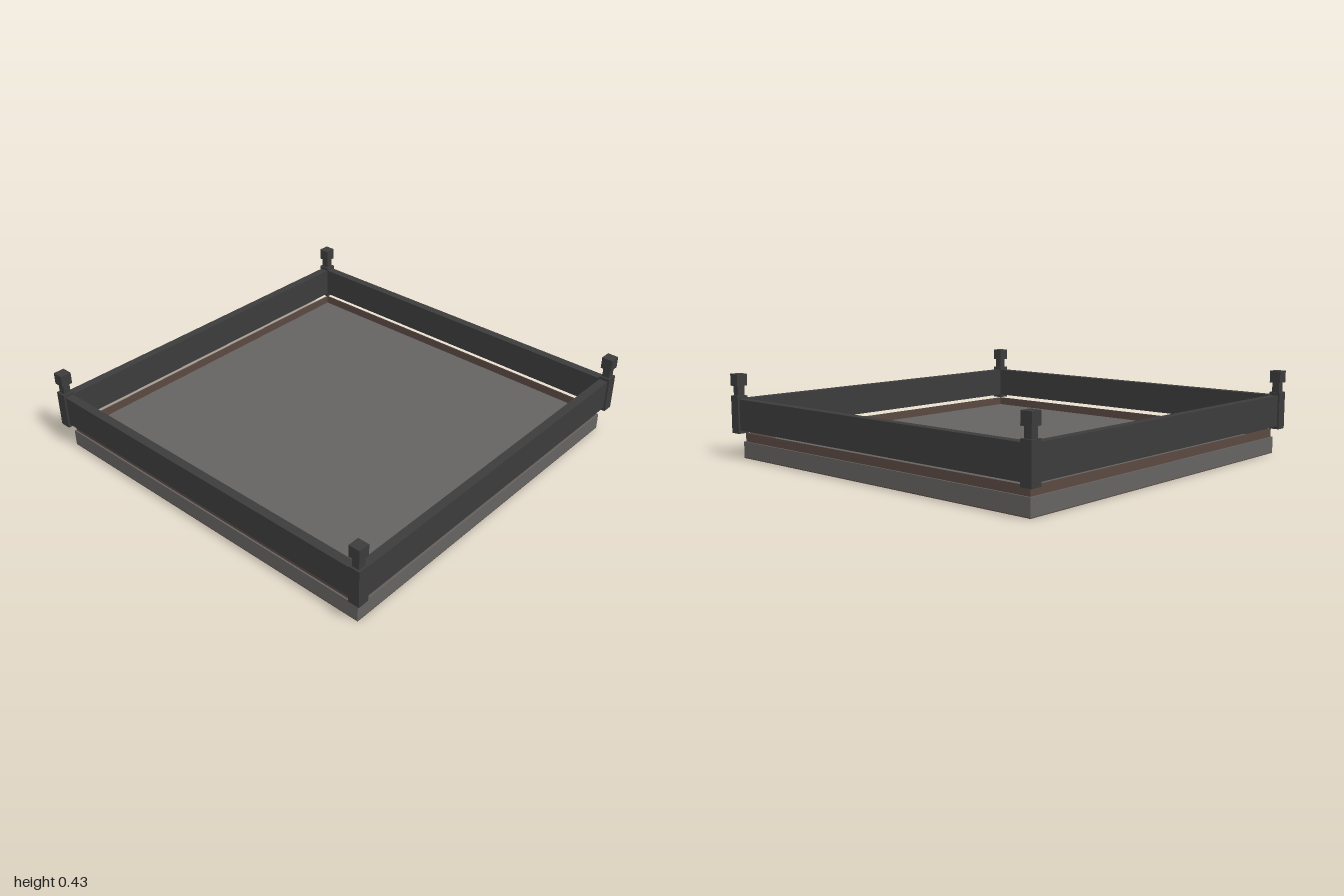
import * as THREE from 'three';

const material = (color) => new THREE.MeshStandardMaterial({ color, flatShading: true });

export function createModel() {
  const model = new THREE.Group();
  const stone = material(0x666462);
  const brown = material(0x5a4a42);
  const iron = material(0x3c3c3c);

  // Box given by its size, centre and bottom height
  const box = (name, mat, [w, h, d], [x, y, z], parent = model) => {
    const mesh = new THREE.Mesh(new THREE.BoxGeometry(w, h, d), mat);
    mesh.name = name;
    mesh.position.set(x, y + h / 2, z);
    parent.add(mesh);
    return mesh;
  };

  // Floor slab on a thin brown underside
  box('underside', brown, [1.92, 0.004, 1.92], [0, 0, 0]);
  box('floorSlab', stone, [1.92, 0.081, 1.92], [0, 0.004, 0]);

  // Thin upright rim around the floor
  const square = (Type, r) => new Type([[-r, -r], [r, -r], [r, r], [-r, r]].map(([x, y]) => new THREE.Vector2(x, y)));
  const outline = square(THREE.Shape, 0.952);
  outline.holes.push(square(THREE.Path, 0.946));
  const rim = new THREE.Mesh(new THREE.ExtrudeGeometry(outline, { depth: 0.043, bevelEnabled: false }), brown);
  rim.name = 'rim';
  rim.rotation.x = -Math.PI / 2;
  rim.position.y = 0.085;
  model.add(rim);

  // One side rail and one corner post per quarter turn
  for (let i = 0; i < 4; i++) {
    const side = new THREE.Group();
    side.name = 'railSide' + (i + 1);
    side.rotation.y = i * Math.PI / 2;
    model.add(side);
    box('rail', iron, [1.89, 0.157, 0.045], [0, 0.147, 0.9685], side);

    const post = new THREE.Group();
    post.name = 'cornerPost';
    post.position.set(0.971, 0, 0.971);
    side.add(post);
    box('postBody', iron, [0.058, 0.19, 0.058], [0, 0.13, 0], post);
    box('postNeck', iron, [0.038, 0.05, 0.038], [0, 0.32, 0], post);
    box('postCap', iron, [0.058, 0.06, 0.058], [0, 0.37, 0], post);
  }

  return model;
}
